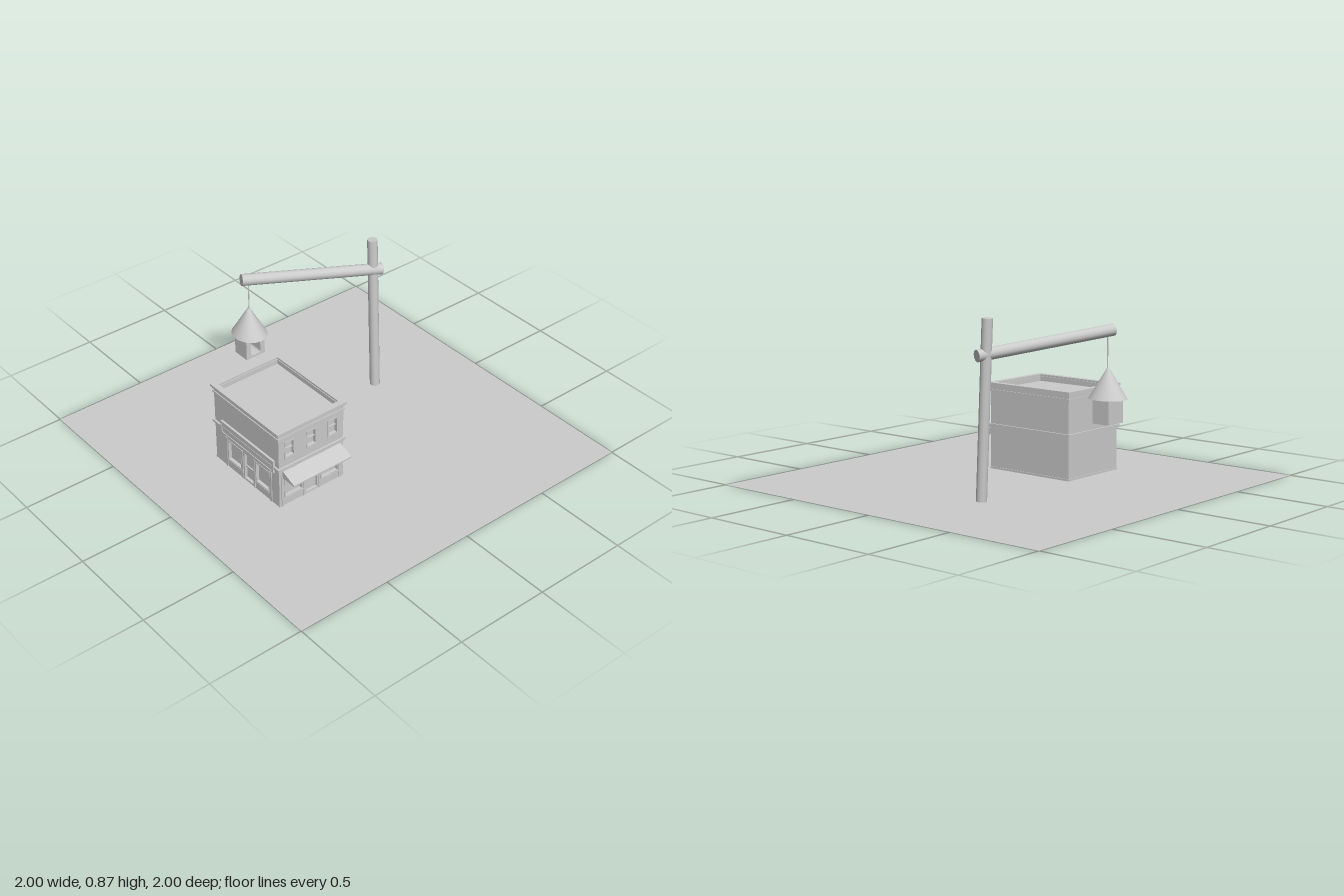
import * as THREE from 'three';

const mat = new THREE.MeshStandardMaterial({ color: 0xcccccc, side: THREE.DoubleSide });

function add(parent, name, geometry, x = 0, y = 0, z = 0) {
  const mesh = new THREE.Mesh(geometry, mat);
  mesh.name = name;
  mesh.position.set(x, y, z);
  parent.add(mesh);
  return mesh;
}

// box given by its lower and upper limits
function block(parent, name, x0, x1, y0, y1, z0, z1) {
  return add(parent, name, new THREE.BoxGeometry(x1 - x0, y1 - y0, z1 - z0),
    (x0 + x1) / 2, (y0 + y1) / 2, (z0 + z1) / 2);
}

function rect(T, x0, x1, y0, y1) {
  return new T([[x0, y0], [x1, y0], [x1, y1], [x0, y1]].map(p => new THREE.Vector2(...p)));
}

function extrude(shape, depth) {
  return new THREE.ExtrudeGeometry(shape, { depth, bevelEnabled: false, curveSegments: 6 });
}

// round beam between two points
function beam(parent, name, a, b, r0, r1, sides) {
  const dir = b.clone().sub(a);
  const mesh = add(parent, name, new THREE.CylinderGeometry(r1, r0, dir.length(), sides));
  mesh.position.copy(a).add(b).multiplyScalar(0.5);
  mesh.quaternion.setFromUnitVectors(new THREE.Vector3(0, 1, 0), dir.normalize());
  return mesh;
}

// building outline
const X0 = -0.555, X1 = -0.158, Z0 = -0.235, Z1 = 0.275, D = 0.015;

// horizontal trim running round the building
function trimRing(parent, name, grow, inset, y0, y1) {
  const s = rect(THREE.Shape, X0 - grow, X1 + grow, -Z1 - grow, -Z0 + grow);
  s.holes.push(rect(THREE.Path, X0 + inset, X1 - inset, -Z1 + inset, -Z0 - inset));
  add(parent, name, extrude(s, y1 - y0), 0, y0, 0).rotation.x = -Math.PI / 2;
}

// raised border round an opening
function frame(parent, name, x0, x1, y0, y1, t, depth) {
  const s = rect(THREE.Shape, x0, x1, y0, y1);
  s.holes.push(rect(THREE.Path, x0 + t, x1 - t, y0 + t, y1 - t));
  add(parent, name, extrude(s, depth));
}

// wall with a shopfront; local z = 0 is the glass, z = D the wall face
function facade(name, u0, u1, mid, upperWindows) {
  const g = new THREE.Group();
  g.name = name;
  const wall = rect(THREE.Shape, u0, u1, 0, 0.41);
  const shop = [[mid - 0.168, mid - 0.055], [mid + 0.055, mid + 0.168]];
  wall.holes.push(rect(THREE.Path, mid - 0.042, mid + 0.042, 0.004, 0.17));
  for (const [a, b] of shop) wall.holes.push(rect(THREE.Path, a, b, 0.045, 0.17));
  for (const u of upperWindows) wall.holes.push(rect(THREE.Path, u - 0.028, u + 0.028, 0.285, 0.375));
  add(g, 'wall', extrude(wall, D));

  for (const [a, b] of shop) {
    frame(g, 'shopWindowFrame', a, b, 0.045, 0.17, 0.007, D + 0.003);
    block(g, 'windowSill', a - 0.004, b + 0.004, 0.04, 0.046, 0, D + 0.005);
  }
  frame(g, 'doorFrame', mid - 0.042, mid + 0.042, 0.004, 0.17, 0.007, D);
  block(g, 'doorRail', mid - 0.035, mid + 0.035, 0.075, 0.085, 0, 0.007);
  for (const s of [-1, 1]) {
    block(g, 'doorPost', mid + s * 0.048 - 0.004, mid + s * 0.048 + 0.004, 0, 0.175, 0, D + 0.004);
    block(g, 'pilaster', mid + s * 0.178 - 0.007, mid + s * 0.178 + 0.007, 0, 0.18, 0, D + 0.004);
  }
  for (const u of upperWindows) {
    frame(g, 'upperWindowFrame', u - 0.03, u + 0.03, 0.283, 0.377, 0.006, D + 0.003);
    block(g, 'sashBar', u - 0.025, u + 0.025, 0.327, 0.333, 0, 0.01);
    block(g, 'upperSill', u - 0.032, u + 0.032, 0.279, 0.285, 0, D + 0.005);
  }
  return g;
}

function createBuilding() {
  const g = new THREE.Group();
  g.name = 'building';
  block(g, 'core', X0 + D, X1, 0.001, 0.415, Z0, Z1 - D);

  // shopfronts on the front and the side
  const front = facade('frontFacade', X0, X1, -0.357, [-0.49, -0.357, -0.225]);
  front.position.z = Z1 - D;
  block(front, 'signBoard', -0.535, -0.18, 0.182, 0.216, D, D + 0.006);
  const side = facade('sideFacade', Z0, Z1 - D, 0.033, []);
  side.rotation.y = -Math.PI / 2;
  side.position.x = X0 + D;
  block(side, 'sideSign', -0.17, 0.24, 0.2, 0.265, D, D + 0.008);
  frame(side, 'sideSignBorder', -0.175, 0.245, 0.197, 0.268, 0.008, D + 0.012);
  g.add(front, side);

  // plinth, floor band, cornice and parapet
  const base = 0.002;
  block(g, 'backPlinth', X0 - base, X1 + base, 0, 0.01, Z0 - 0.004, Z0);
  block(g, 'sidePlinth', X1, X1 + 0.004, 0, 0.01, Z0, Z1);
  trimRing(g, 'floorBand', 0.005, 0.01, 0.216, 0.226);
  trimRing(g, 'floorBandTop', 0.01, 0.01, 0.226, 0.236);
  trimRing(g, 'corniceLower', 0.006, 0.02, 0.405, 0.414);
  trimRing(g, 'parapet', 0.001, 0.022, 0.41, 0.44);
  trimRing(g, 'corniceStep', 0.008, 0.02, 0.43, 0.438);
  trimRing(g, 'corniceTop', 0.013, 0.018, 0.438, 0.45);

  // sloping awning
  const profile = new THREE.Shape([[Z1, 0.172], [0.365, 0.172], [0.365, 0.18], [Z1, 0.215]]
    .map(([z, y]) => new THREE.Vector2(-z, y)));
  add(g, 'awning', extrude(profile, 0.355), -0.535, 0, 0).rotation.y = Math.PI / 2;
  return g;
}

function createBirdhouse() {
  const g = new THREE.Group();
  g.name = 'hangingHouse';
  // conical roof, a little narrower across
  add(g, 'coneRoof', new THREE.ConeGeometry(0.1, 0.16, 32), 0, 0.525, 0).scale.x = 0.87;
  add(g, 'cord', new THREE.CylinderGeometry(0.003, 0.003, 0.17, 8), 0, 0.675, 0.004);

  // hollow body with a round-cornered front opening
  const s = rect(THREE.Shape, -0.058, 0.058, 0.325, 0.447);
  const hole = new THREE.Path();
  hole.moveTo(-0.03, 0.44);
  hole.lineTo(-0.03, 0.352);
  hole.quadraticCurveTo(-0.03, 0.337, -0.015, 0.337);
  hole.lineTo(0.015, 0.337);
  hole.quadraticCurveTo(0.03, 0.337, 0.03, 0.352);
  hole.lineTo(0.03, 0.44);
  hole.closePath();
  s.holes.push(hole);
  add(g, 'houseBody', extrude(s, 0.086), 0, 0, -0.038);
  block(g, 'houseBack', -0.058, 0.058, 0.325, 0.447, -0.048, -0.038);
  g.position.set(-0.147, 0, -0.485);
  return g;
}

export function createModel() {
  const model = new THREE.Group();
  model.name = 'streetScene';
  add(model, 'ground', new THREE.PlaneGeometry(2, 2)).rotation.x = -Math.PI / 2;
  model.add(createBuilding());

  // leaning post and cross arm
  const v = (x, y, z) => new THREE.Vector3(x, y, z);
  beam(model, 'post', v(0.463, 0.002, -0.207), v(0.465, 0.872, -0.248), 0.027, 0.027, 12);
  beam(model, 'crossArm', v(-0.187, 0.777, -0.485), v(0.508, 0.697, -0.22), 0.03, 0.03, 12);
  model.add(createBirdhouse());
  return model;
}
